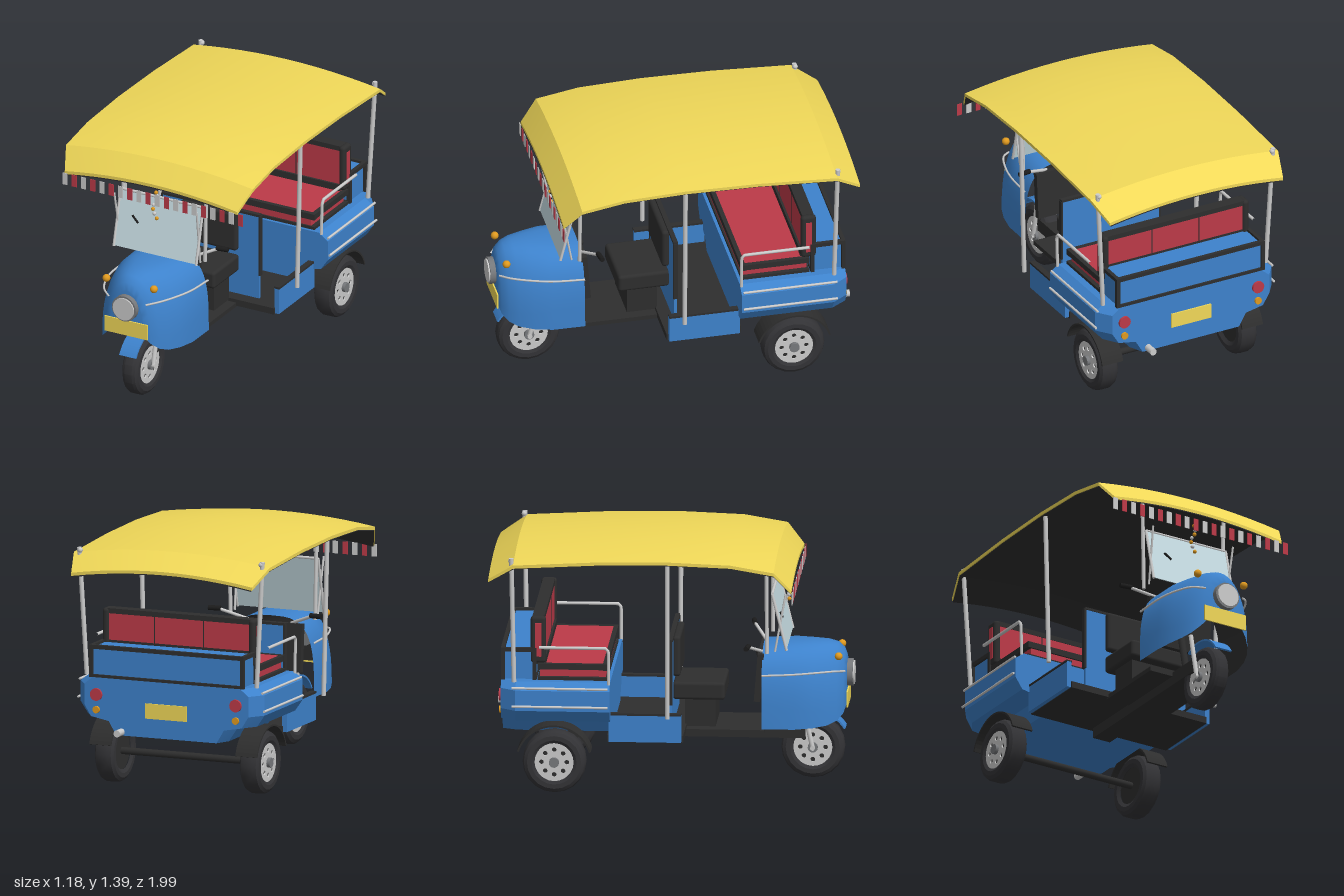
import * as THREE from 'three';
import { toCreasedNormals } from 'three/addons/utils/BufferGeometryUtils.js';
import { RoundedBoxGeometry } from 'three/addons/geometries/RoundedBoxGeometry.js';

const V = (x, y, z) => new THREE.Vector3(x, y, z);
const paint = (color, side = THREE.FrontSide) => new THREE.MeshStandardMaterial({ color, side });

// Skin through rings of points running from +z to -z, each counter-clockwise seen from the front
function loft(rings, { closed = true, front = true, back = true, crease = 0.6 } = {}) {
  const pos = [];
  const tri = (...p) => p.forEach(v => pos.push(v.x, v.y, v.z));
  const n = rings[0].length;
  for (let i = 0; i < rings.length - 1; i++) {
    for (let j = 0; j < (closed ? n : n - 1); j++) {
      const k = (j + 1) % n, a = rings[i], b = rings[i + 1];
      tri(a[j], b[j], b[k]);
      tri(a[j], b[k], a[k]);
    }
  }
  const cap = (ring, flip) => {
    const pts = ring.map(p => new THREE.Vector2(p.x, p.y));
    for (const f of THREE.ShapeUtils.triangulateShape(pts, [])) {
      const [a, b, c] = f.map(i => ring[i]);
      flip ? tri(a, c, b) : tri(a, b, c);
    }
  };
  if (front) cap(rings[0], false);
  if (back) cap(rings[rings.length - 1], true);
  const g = new THREE.BufferGeometry();
  g.setAttribute('position', new THREE.Float32BufferAttribute(pos, 3));
  return toCreasedNormals(g, crease);
}

export function createModel() {
  const root = new THREE.Group();
  const blue = paint(0x3d82cc), yellow = paint(0xf0d858), red = paint(0xbc3a48), dark = paint(0x2e2e2e);
  const grey = paint(0xcccccc), orange = paint(0xe09a20), glass = paint(0xc6dce2, THREE.DoubleSide);
  const tyre = paint(0x333336), black = paint(0x1c1c1c);

  const add = (name, geo, mat, x = 0, y = 0, z = 0, parent = root) => {
    const m = new THREE.Mesh(geo, mat);
    m.name = name;
    m.position.set(x, y, z);
    parent.add(m);
    return m;
  };
  const box = (name, mat, w, h, d, x, y, z) => add(name, new THREE.BoxGeometry(w, h, d), mat, x, y, z);
  const pad = (name, mat, w, h, d, x, y, z) => add(name, new RoundedBoxGeometry(w, h, d, 2, 0.018), mat, x, y, z);
  const rod = (name, mat, a, b, r = 0.01) => {
    const m = add(name, new THREE.CylinderGeometry(r, r, a.distanceTo(b), 10), mat);
    m.position.copy(a).add(b).multiplyScalar(0.5);
    m.quaternion.setFromUnitVectors(V(0, 1, 0), b.clone().sub(a).normalize());
    return m;
  };
  // Disc or drum facing along z
  const disc = (name, mat, r, d, x, y, z) => {
    const m = add(name, new THREE.CylinderGeometry(r, r, d, 20), mat, x, y, z);
    m.rotation.x = Math.PI / 2;
    return m;
  };

  // Canopy: curved slab with drooping ends and a dark lining
  const roofStations = [[0.685, 0.545, 1.235], [0.59, 0.59, 1.345], [0.35, 0.59, 1.385], [0, 0.59, 1.397],
    [-0.4, 0.59, 1.39], [-0.85, 0.59, 1.365], [-0.99, 0.545, 1.275]];
  const roof = (top, bottom, inset) => loft(roofStations.map(([z, w, y]) => {
    const arc = Array.from({ length: 13 }, (_, i) => 1 - i / 6);
    const at = (t, drop) => V(t * (w - inset), y - 0.046 * t * t - drop, z);
    return [...arc.map(t => at(t, top)), ...arc.reverse().map(t => at(t, bottom))];
  }), { crease: 0.35 });
  add('canopy', roof(0, 0.018, 0), yellow);
  add('canopyLining', roof(0.0185, 0.024, 0.006), dark);
  for (let i = 0; i < 20; i++) {
    box('fringeFlag', i % 2 ? red : grey, 0.031, 0.07, 0.004, -0.54 + i * 0.0583, 1.145, 0.69);
  }

  // Front cowl: open-bottomed shell, blue outside and dark inside
  const cowl = loft([[0.96, 0.11, 0.7, 0.44, 2], [0.945, 0.145, 0.74, 0.4, 2.1], [0.91, 0.18, 0.77, 0.365, 2.2],
    [0.86, 0.21, 0.782, 0.345, 2.4], [0.78, 0.24, 0.786, 0.335, 2.6], [0.68, 0.26, 0.785, 0.33, 3],
    [0.5, 0.262, 0.772, 0.33, 3.4]].map(([z, w, t, b, n]) =>
    Array.from({ length: 25 }, (_, i) => {
      const a = Math.PI * i / 24, c = Math.cos(a), s = Math.sin(a);
      return V(w * Math.sign(c) * Math.abs(c) ** (2 / n), b + (t - b) * Math.abs(s) ** (2 / n), z);
    })), { closed: false, back: false, crease: 0.9 });
  add('cowl', cowl, blue);
  add('cowlInside', cowl, paint(0x2e2e2e, THREE.BackSide));
  const dash = box('dashboard', dark, 0.4, 0.27, 0.035, 0, 0.605, 0.482);
  dash.rotation.x = 0.08;
  rod('steeringColumn', dark, V(0, 0.33, 0.56), V(0, 0.72, 0.47), 0.02);
  disc('headlightShell', paint(0x77797c), 0.076, 0.06, 0, 0.6, 0.962);
  disc('headlightLens', grey, 0.066, 0.02, 0, 0.6, 0.99);
  box('frontPlate', yellow, 0.27, 0.09, 0.008, 0, 0.475, 0.966);

  // Windscreen, top leaning back, with wiper and hanging beads
  const screen = add('windscreen', new THREE.BoxGeometry(0.52, 0.32, 0.005), glass, 0, 0.94, 0.6);
  screen.rotation.x = -0.24;
  rod('windscreenTopRail', grey, V(-0.26, 1.1, 0.56), V(0.26, 1.1, 0.56), 0.008);
  rod('wiper', black, V(-0.165, 0.972, 0.6), V(-0.125, 0.938, 0.608), 0.006);
  for (let i = 0; i < 7; i++) {
    add('bead', new THREE.SphereGeometry(0.011, 10, 8), i % 2 ? grey : orange,
      [0.005, 0.012, 0.008, -0.01, -0.014, -0.005, 0.01][i], 1.165 - i * 0.026, 0.637);
  }

  // Paired details of cab, posts, body and lamps
  for (const s of [1, -1]) {
    add('indicator', new THREE.SphereGeometry(0.022, 14, 10), orange, s * 0.15, 0.725, 0.92);
    rod('windscreenSideRail', grey, V(s * 0.26, 0.78, 0.64), V(s * 0.26, 1.1, 0.56), 0.008);
    rod('windscreenBrace', grey, V(s * 0.25, 0.77, 0.575), V(s * 0.26, 1.1, 0.635), 0.006);
    rod('frontPost', grey, V(s * 0.255, 0.76, 0.53), V(s * 0.265, 1.335, 0.53), 0.011);
    rod('middlePost', grey, V(s * 0.54, 0.45, 0), V(s * 0.562, 1.345, 0), 0.013);
    rod('rearPost', grey, V(s * 0.512, 0.64, -0.85), V(s * 0.552, 1.35, -0.862), 0.013);
    add('rearPostCap', new THREE.SphereGeometry(0.015, 10, 8), grey, s * 0.545, 1.335, -0.865);
    rod('handlebarArm', grey, V(s * 0.12, 0.735, 0.51), V(s * 0.28, 0.8, 0.43), 0.009);
    rod('handlebarGrip', black, V(s * 0.27, 0.803, 0.43), V(s * 0.34, 0.803, 0.42), 0.014);
    add('cowlTrim', new THREE.TubeGeometry(new THREE.CatmullRomCurve3([V(s * 0.257, 0.632, 0.5),
      V(s * 0.25, 0.64, 0.68), V(s * 0.222, 0.645, 0.8), V(s * 0.175, 0.644, 0.9), V(s * 0.115, 0.632, 0.952)]), 24, 0.006, 6), grey);
    box('stepSidePanel', blue, 0.028, 0.155, 0.4, s * 0.45, 0.373, -0.13);
    box('stepPanelTrim', dark, 0.034, 0.012, 0.4, s * 0.45, 0.452, -0.13);
    for (const [y, x] of [[0.612, 0.55], [0.51, 0.56]]) {
      rod('bodyTrim', grey, V(s * x, y, -0.33), V(s * x, y, -0.86), 0.007);
    }
    add('armRail', new THREE.TubeGeometry(new THREE.CatmullRomCurve3([V(s * 0.51, 0.63, -0.327), V(s * 0.515, 0.81, -0.327),
      V(s * 0.515, 0.837, -0.345), V(s * 0.515, 0.837, -0.71)], false, 'catmullrom', 0.1), 30, 0.009, 8), grey);
    disc('tailLamp', red, 0.035, 0.025, s * 0.42, 0.545, -0.926);
    disc('rearIndicator', orange, 0.02, 0.025, s * 0.42, 0.46, -0.926);
    rod('frontFork', grey, V(s * 0.062, 0.18, 0.77), V(s * 0.062, 0.45, 0.71), 0.013);
    box('partitionEdge', dark, 0.012, 0.36, 0.026, s * 0.308, 0.65, 0);
  }

  // Floor, spine and driver's place
  box('spine', dark, 0.11, 0.075, 1.04, 0, 0.27, 0.21);
  box('frontFloor', dark, 0.4, 0.025, 0.45, 0, 0.297, 0.285);
  box('cabinFloor', dark, 0.88, 0.038, 0.42, 0, 0.31, -0.13);
  box('driverSeatBase', dark, 0.3, 0.16, 0.17, 0, 0.395, 0.155);
  pad('driverSeat', dark, 0.36, 0.1, 0.29, 0, 0.52, 0.148);
  pad('driverBackrest', dark, 0.36, 0.23, 0.045, 0, 0.715, 0.025);
  box('partition', blue, 0.61, 0.5, 0.018, 0, 0.58, 0);
  box('partitionCap', dark, 0.62, 0.014, 0.026, 0, 0.833, 0);

  // Rear body tub with chamfered sides and tapered tail
  const half = [[0.34, 0.325], [0.39, 0.4], [0.51, 0.42], [0.555, 0.485], [0.555, 0.6], [0.5, 0.64]];
  const outline = [...half, ...half.map(([x, y]) => [-x, y]).reverse()];
  add('rearBody', loft([[-0.32, 1], [-0.84, 1], [-0.925, 0.89]].map(([z, k]) =>
    outline.map(([x, y]) => V(x * k, y, z))), { crease: 0.3 }), blue);
  box('rearPlate', yellow, 0.25, 0.085, 0.008, 0, 0.475, -0.929);
  rod('exhaust', grey, V(0.27, 0.345, -0.8), V(0.27, 0.345, -0.99), 0.02);

  // Luggage box behind the bench
  box('rearBox', blue, 0.9, 0.165, 0.18, 0, 0.725, -0.825);
  for (const z of [-0.74, -0.915]) {
    box('rearBoxTopTrim', dark, 0.93, 0.022, 0.022, 0, 0.81, z);
    box('rearBoxBottomTrim', dark, 0.93, 0.016, 0.022, 0, 0.648, z);
    for (const x of [-0.455, 0.455]) box('rearBoxCornerTrim', dark, 0.022, 0.18, 0.022, x, 0.73, z);
  }
  for (const x of [-0.455, 0.455]) box('rearBoxEndTrim', dark, 0.022, 0.022, 0.19, x, 0.81, -0.828);

  // Passenger bench and backrest, red with dark piping
  box('benchCushion', red, 0.87, 0.09, 0.365, 0, 0.685, -0.53);
  box('benchFrontPiping', dark, 0.92, 0.035, 0.025, 0, 0.715, -0.35);
  box('benchBase', dark, 0.92, 0.02, 0.385, 0, 0.647, -0.53);
  box('backrest', red, 0.86, 0.24, 0.06, 0, 0.862, -0.72);
  box('backrestTop', dark, 0.86, 0.028, 0.066, 0, 0.984, -0.72);
  box('backrestBottom', dark, 0.86, 0.045, 0.075, 0, 0.745, -0.715);
  for (const x of [-0.148, 0.148]) box('backrestSeam', dark, 0.005, 0.21, 0.062, x, 0.868, -0.72);
  for (const s of [1, -1]) {
    box('benchEndPiping', dark, 0.025, 0.032, 0.385, s * 0.447, 0.716, -0.53);
    pad('backrestEnd', dark, 0.04, 0.265, 0.085, s * 0.44, 0.867, -0.72);
    box('backrestEndPanel', red, 0.006, 0.19, 0.035, s * 0.46, 0.867, -0.72);
  }

  // Wheels: lathed tyre, dark drum and a drilled rim on each shown side
  const rimShape = new THREE.Shape().absarc(0, 0, 0.108, 0, Math.PI * 2);
  for (let i = 0; i < 8; i++) {
    const a = i * Math.PI / 4;
    rimShape.holes.push(new THREE.Path().absarc(Math.cos(a) * 0.07, Math.sin(a) * 0.07, 0.013, 0, Math.PI * 2, true));
  }
  const rimGeo = new THREE.ExtrudeGeometry(rimShape, { depth: 0.012, bevelEnabled: false, curveSegments: 12 });
  const wheel = (name, x, z, w, sides) => {
    const g = new THREE.Group();
    g.name = name;
    g.position.set(x, 0.18, z);
    root.add(g);
    const h = w / 2;
    const profile = [[0.105, -h + 0.012], [0.125, -h], [0.15, -h], [0.168, -h + 0.012], [0.176, -h * 0.45], [0.176, h * 0.45],
      [0.168, h - 0.012], [0.15, h], [0.125, h], [0.105, h - 0.012]].map(p => new THREE.Vector2(...p));
    add('tyre', toCreasedNormals(new THREE.LatheGeometry(profile, 20), 0.5), tyre, 0, 0, 0, g).rotation.z = Math.PI / 2;
    add('drum', new THREE.CylinderGeometry(0.108, 0.108, w - 0.036, 20), dark, 0, 0, 0, g).rotation.z = Math.PI / 2;
    for (const s of sides) {
      add('rim', rimGeo, grey, s * (h - 0.022), 0, 0, g).rotation.y = s * Math.PI / 2;
      add('hub', new THREE.CylinderGeometry(0.028, 0.028, 0.03, 14), paint(0x77797c), s * (h - 0.006), 0, 0, g).rotation.z = Math.PI / 2;
    }
  };
  wheel('frontWheel', 0, 0.77, 0.1, [1, -1]);
  wheel('rearWheelLeft', 0.437, -0.63, 0.115, [1]);
  wheel('rearWheelRight', -0.437, -0.63, 0.115, [-1]);
  rod('frontAxle', grey, V(-0.075, 0.18, 0.77), V(0.075, 0.18, 0.77), 0.014);
  rod('rearAxle', dark, V(-0.43, 0.18, -0.63), V(0.43, 0.18, -0.63), 0.02);

  // Mudguards: bent strips, angles measured from +z upward
  const mudguard = (name, mat, x, z, w, from, to) => {
    const shape = new THREE.Shape().absarc(0, 0, 0.213, from, to);
    shape.absarc(0, 0, 0.203, to, from, true);
    const geo = new THREE.ExtrudeGeometry(shape, { depth: w, bevelEnabled: false, curveSegments: 12 });
    add(name, geo, mat, x + w / 2, 0.18, z).rotation.y = -Math.PI / 2;
  };
  mudguard('frontMudguard', blue, 0, 0.77, 0.105, 0.55, 2.1);
  for (const s of [1, -1]) mudguard('rearMudguard', dark, s * 0.44, -0.63, 0.13, 0.3, Math.PI - 0.3);

  return root;
}
